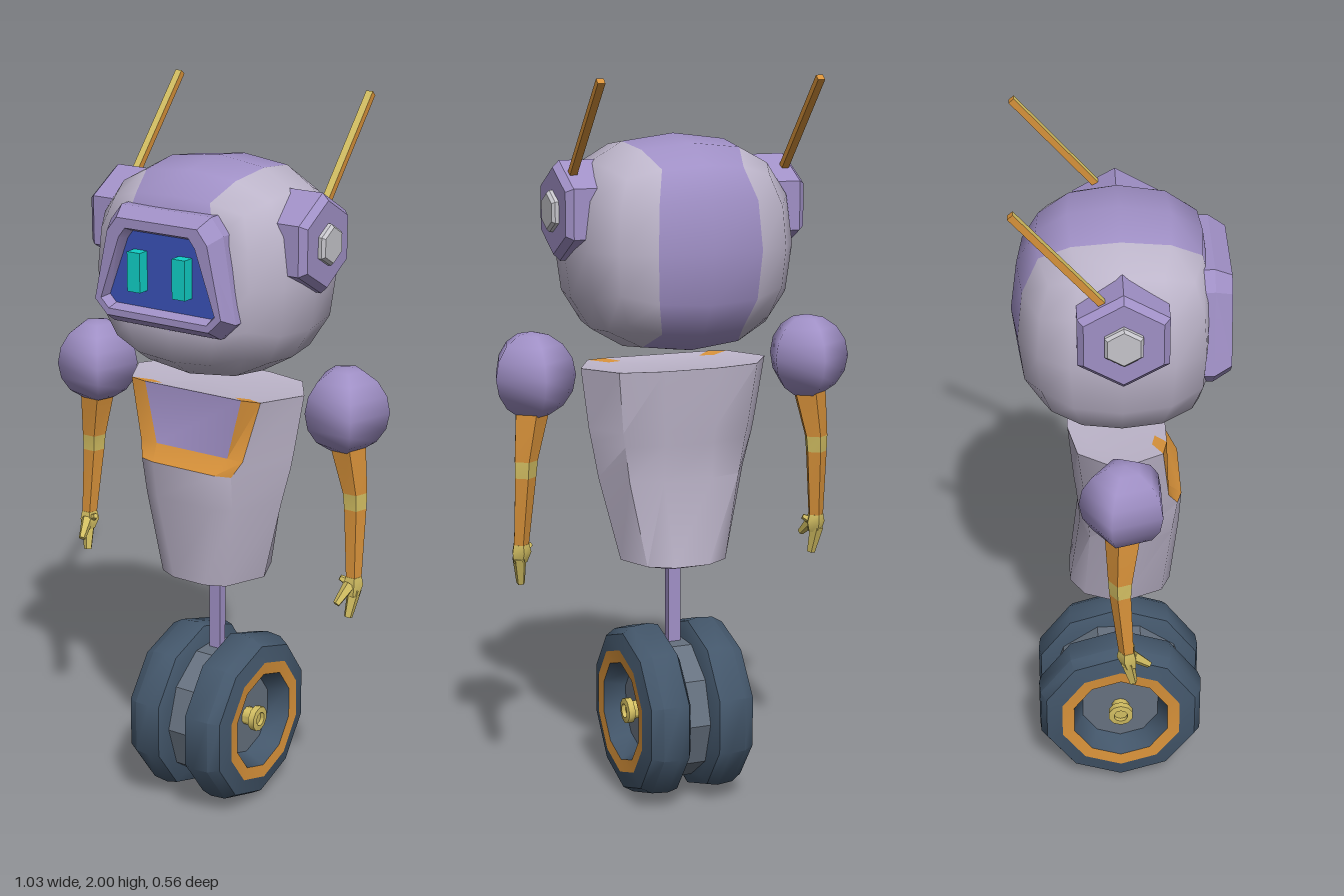
import * as THREE from 'three';
import { mergeVertices, toCreasedNormals } from 'three/addons/utils/BufferGeometryUtils.js';

const mat = (name, color, side = THREE.FrontSide) => {
  const m = new THREE.MeshStandardMaterial({ color, side });
  m.name = name;
  return m;
};

// Indexed triangles sorted into one group per material; pick(a, b, c, face) gives the material number
function paintGroups(geo, faces, count) {
  const index = [];
  geo.clearGroups();
  for (let m = 0; m < count; m++) {
    const start = index.length;
    for (const f of faces) if (f.m === m) index.push(...f.tri);
    geo.addGroup(start, index.length - start, m);
  }
  geo.setIndex(index);
}

// Skin over rings of [x,y,z] (counter-clockwise seen from the last ring), capped at both ends.
// Row -1 is the start cap, row rings.length-1 the end cap.
function loft(rings, paint = () => 0, count = 1, crease = 0.6) {
  const n = rings[0].length, pos = rings.flat(2), faces = [];
  const centre = ring => {
    for (let k = 0; k < 3; k++) pos.push(ring.reduce((s, p) => s + p[k], 0) / n);
    return pos.length / 3 - 1;
  };
  const c0 = centre(rings[0]), last = rings.length - 1, c1 = centre(rings[last]);
  for (let i = 0; i < n; i++) {
    const j = (i + 1) % n;
    faces.push({ tri: [j, i, c0], m: paint(-1, i) });
    for (let r = 0; r < last; r++) {
      const a = r * n, b = a + n, m = paint(r, i);
      faces.push({ tri: [a + i, a + j, b + j], m }, { tri: [a + i, b + j, b + i], m });
    }
    faces.push({ tri: [last * n + i, last * n + j, c1], m: paint(last, i) });
  }
  const geo = new THREE.BufferGeometry();
  geo.setAttribute('position', new THREE.Float32BufferAttribute(pos, 3));
  paintGroups(geo, faces, count);
  return toCreasedNormals(geo, crease);
}

export function createModel() {
  const root = new THREE.Group();
  root.name = 'robot';
  const light = mat('paleLilac', 0xbdb5ca), purple = mat('purple', 0xa090c6);
  const orange = mat('orange', 0xd8923a), yellow = mat('yellow', 0xd2be62);
  const tyre = mat('tyreBlueGrey', 0x43566a), grey = mat('steelGrey', 0x66717f);
  const blue = mat('screenBlue', 0x3a52b8), teal = mat('eyeTeal', 0x10cfc6);
  const pale = mat('paleGrey', 0xc6c5cb);

  const add = (name, geo, material, parent = root) => {
    const mesh = new THREE.Mesh(geo, material);
    mesh.name = name;
    parent.add(mesh);
    return mesh;
  };
  const strut = (name, from, to, r0, r1, material, parent) => {
    const a = new THREE.Vector3(...from), d = new THREE.Vector3(...to).sub(a);
    const geo = toCreasedNormals(new THREE.CylinderGeometry(r1, r0, d.length(), 5), 0.6);
    const m = add(name, geo, material, parent);
    m.position.copy(a).addScaledVector(d, 0.5);
    m.quaternion.setFromUnitVectors(new THREE.Vector3(0, 1, 0), d.normalize());
  };

  // Head: a cube rounded to a superellipsoid, flattened in front, with a central stripe
  let head = new THREE.BoxGeometry(2, 2, 2, 4, 4, 4);
  head.deleteAttribute('normal');
  head.deleteAttribute('uv');
  head = mergeVertices(head);
  const p = head.attributes.position, v = new THREE.Vector3();
  for (let i = 0; i < p.count; i++) {
    v.fromBufferAttribute(p, i);
    const k = (Math.abs(v.x) ** 2.5 + Math.abs(v.y) ** 2.5 + Math.abs(v.z) ** 2.5) ** -0.4;
    v.multiplyScalar(k);
    p.setXYZ(i, v.x * 0.312, 1.553 + v.y * 0.292, Math.min(v.z * 0.28, 0.225));
  }
  const headFaces = [], ix = head.index.array;
  for (let i = 0; i < ix.length; i += 3) {
    const tri = [ix[i], ix[i + 1], ix[i + 2]];
    const mid = get => tri.reduce((s, t) => s + p[get](t), 0) / 3;
    const stripe = Math.abs(mid('getX')) < 0.15 && !(mid('getY') < 1.5 && mid('getZ') > 0);
    headFaces.push({ tri, m: stripe ? 1 : 0 });
  }
  paintGroups(head, headFaces, 2);
  head.computeVertexNormals();
  add('head', head, [light, purple]);

  // Visor: rounded trapezoid frame around a recessed screen
  const visorRing = (w0, w1, y0, y1, cut, z) => {
    const half = [[w0 - cut, y0], [w0, y0 + cut], [w1, y1 - cut], [w1 - cut * 0.8, y1]];
    return [...half, ...half.map(([x, y]) => [-x, y]).reverse()].map(([x, y]) => [x, y, z]);
  };
  add('visor', loft([
    visorRing(0.213, 0.175, 1.425, 1.74, 0.045, 0.19),
    visorRing(0.213, 0.175, 1.425, 1.74, 0.045, 0.235),
    visorRing(0.197, 0.155, 1.452, 1.715, 0.038, 0.28),
    visorRing(0.178, 0.118, 1.47, 1.69, 0.025, 0.28),
    visorRing(0.17, 0.11, 1.48, 1.678, 0.02, 0.25),
  ], row => (row === 4 ? 1 : 0), 2, 0.3), [purple, blue]);

  // Body: tapered loft with a recessed chest panel and an orange surround
  const bodyRing = (y, half) => [...half, ...half.map(([x, z]) => [-x, z]).reverse()]
    .map(([x, z]) => [x, y, z]);
  const rim = [[0.155, 0.12], [0.208, 0.108], [0.27, -0.01], [0.2, -0.115], [0.08, -0.14]];
  const base = [[0.05, 0.14], [0.105, 0.115], [0.155, 0], [0.115, -0.1], [0.05, -0.14]];
  const scaled = (half, s) => half.map(([x, z]) => [x * s, z * s]);
  add('body', loft([
    bodyRing(0.65, scaled(base, 0.2)),
    bodyRing(0.685, base),
    bodyRing(0.92, [[0.09, 0.16], [0.14, 0.138], [0.215, 0.01], [0.16, -0.085], [0.07, -0.11]]),
    bodyRing(1.02, [[0.1, 0.165], [0.145, 0.152], [0.237, 0], [0.175, -0.092], [0.07, -0.12]]),
    bodyRing(1.06, [[0.115, 0.125], [0.165, 0.127], [0.245, 0], [0.182, -0.097], [0.073, -0.125]]),
    bodyRing(1.228, rim),
    bodyRing(1.222, scaled(rim, 0.75)),
  ], (row, col) => {
    const side = col === 0 || col === 8, front = col === 9;
    if (row <= 0) return 1;
    if (row === 3) return side || front ? 2 : 0;
    if (row === 4) return side ? 2 : front ? 1 : 0;
    return row === 5 && side ? 2 : 0;
  }, 3, 0.75), [light, purple, orange]);

  // Post from the body down to the axle
  add('post', new THREE.BoxGeometry(0.036, 0.43, 0.026), purple).position.y = 0.46;

  // Drum between the wheels
  const turned = (pts, sides = 10) => toCreasedNormals(new THREE.LatheGeometry(
    pts.map(([r, h]) => new THREE.Vector2(r, h)), sides, Math.PI / 2), 0.7);
  const drum = add('wheelDrum', new THREE.CylinderGeometry(0.2, 0.2, 0.08, 10), grey);
  drum.geometry = toCreasedNormals(drum.geometry, 0.3);
  drum.rotation.set(0, 0, Math.PI / 2);
  drum.position.y = 0.247;

  for (const s of [1, -1]) {
    const label = s > 0 ? 'left' : 'right';

    // Eye
    add(label + 'Eye', new THREE.BoxGeometry(0.04, 0.105, 0.035), teal).position.set(s * 0.07, 1.578, 0.266);

    // Ear pod with pale cap, and swept-back antenna
    const ear = new THREE.Group();
    ear.name = label + 'Ear';
    ear.position.y = 1.65;
    ear.rotation.z = -s * Math.PI / 2;
    root.add(ear);
    add('earPod', turned([[0, 0.21], [0.132, 0.21], [0.132, 0.322], [0.114, 0.34], [0, 0.34]], 6), purple, ear);
    add('earCap', turned([[0.055, 0.33], [0.055, 0.35], [0.047, 0.358], [0, 0.358]], 6), pale, ear);
    const antenna = add(label + 'Antenna', new THREE.BoxGeometry(0.02, 0.38, 0.018),
      [orange, orange, orange, orange, yellow, orange]);
    antenna.position.set(s * 0.303, 1.853, -0.142);
    antenna.rotation.x = -0.72;

    // Arm: shoulder, sleeve with elbow band, hand with three fingers
    const arm = new THREE.Group();
    arm.name = label + 'Arm';
    root.add(arm);
    const shoulder = add('shoulder', new THREE.SphereGeometry(0.117, 5, 8), purple, arm);
    shoulder.position.set(s * 0.404, 1.218, 0);
    shoulder.rotation.y = -Math.PI / 2;
    const ring = (x, y, z, r) => Array.from({ length: 5 }, (_, i) => {
      const a = Math.PI + i * Math.PI * 0.4;
      return [s * x + r * Math.sin(a), y, z + r * Math.cos(a)];
    });
    add('sleeve', loft([
      ring(0.441, 0.755, 0.005, 0.022), ring(0.432, 0.945, -0.01, 0.031),
      ring(0.43, 0.99, -0.01, 0.034), ring(0.408, 1.13, -0.002, 0.05),
    ], row => (row === 1 ? 1 : 0), 2), [orange, yellow], arm);
    add('palm', loft([ring(0.442, 0.705, 0.012, 0.02), ring(0.44, 0.735, 0.006, 0.028),
      ring(0.441, 0.757, 0.005, 0.023)]), yellow, arm);
    strut('finger', [s * 0.445, 0.72, 0.005], [s * 0.437, 0.643, 0.022], 0.02, 0.012, yellow, arm);
    strut('forefinger', [s * 0.438, 0.735, 0.02], [s * 0.425, 0.692, 0.065], 0.018, 0.01, yellow, arm);
    strut('thumb', [s * 0.435, 0.735, 0.008], [s * 0.408, 0.75, 0.02], 0.014, 0.008, yellow, arm);

    // Wheel: tyre, trim ring, recessed rim, hub
    const wheel = new THREE.Group();
    wheel.name = label + 'Wheel';
    wheel.position.y = 0.247;
    wheel.rotation.z = -s * Math.PI / 2;
    root.add(wheel);
    add('tyre', turned([[0, 0.03], [0.21, 0.03], [0.24, 0.045], [0.247, 0.075], [0.243, 0.12],
      [0.225, 0.15], [0.178, 0.16]]), tyre, wheel);
    add('trimRing', turned([[0.178, 0.16], [0.142, 0.157]]), orange, wheel);
    add('rimWall', turned([[0.142, 0.157], [0.115, 0.1]]), tyre, wheel);
    add('rimDisc', turned([[0.115, 0.1], [0, 0.1]]), grey, wheel);
    add('hub', turned([[0.026, 0.1], [0.026, 0.125], [0.036, 0.127], [0.036, 0.145],
      [0.02, 0.147], [0.02, 0.135], [0, 0.135]]), yellow, wheel);
  }
  return root;
}
